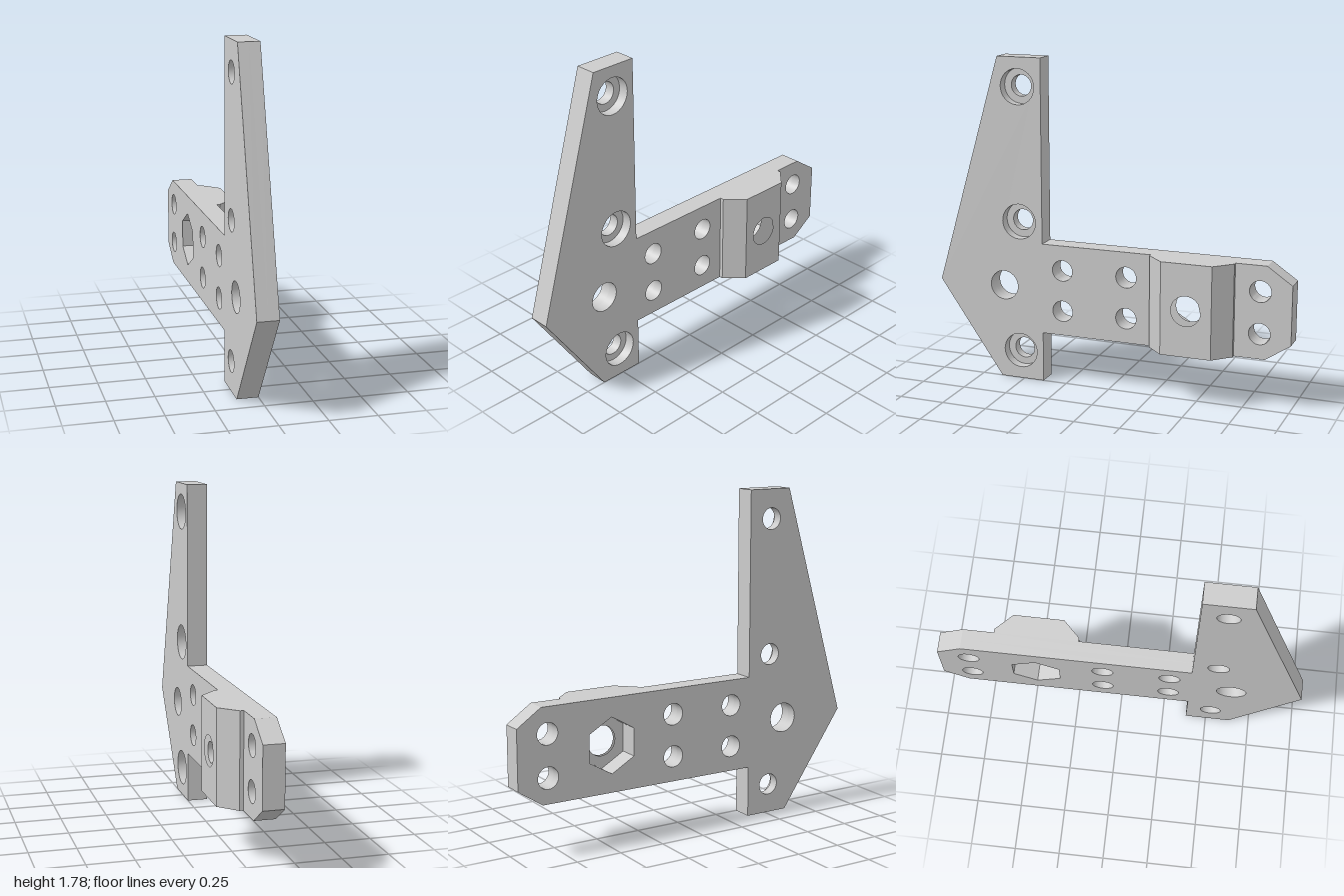
import * as THREE from 'three';
import { toCreasedNormals } from 'three/addons/utils/BufferGeometryUtils.js';

const T = 0.112;       // plate thickness
const STEP = 0.056;    // depth of the counterbores
const LOW = 0.277, HIGH = 0.78, MID = 0.527;  // arm edges and centre line
const PAD_Z = -0.467;  // centre of the raised pad

const material = new THREE.MeshStandardMaterial({ color: 0xcccccc });

// Profiles are given as [z, y]; the shape plane uses -z so it can be turned to face +x
const toPoints = (list) => list.map(([z, y]) => new THREE.Vector2(-z, y));

function roundHole([z, y], r) {
  const path = new THREE.Path();
  path.absarc(-z, y, r, 0, Math.PI * 2, true);
  return path;
}

function hexHole([z, y], r) {
  const corners = [];
  for (let i = 0; i < 6; i++) {
    const a = Math.PI / 2 + (i * Math.PI) / 3;
    corners.push([z + r * Math.cos(a), y + r * Math.sin(a)]);
  }
  return new THREE.Path([...toPoints(corners), toPoints(corners)[0]]);
}

// Extrude a profile along x from x0 to x1, optionally adjusting its vertices
function slab(name, outline, holes, x0, x1, adjust) {
  const shape = new THREE.Shape(toPoints(outline));
  shape.holes.push(...holes);
  const geo = new THREE.ExtrudeGeometry(shape, { depth: x1 - x0, bevelEnabled: false, curveSegments: 16 });
  geo.rotateY(Math.PI / 2).translate(x0, 0, 0);
  if (adjust) adjust(geo.attributes.position);
  const mesh = new THREE.Mesh(toCreasedNormals(geo, 0.4), material);
  mesh.name = name;
  return mesh;
}

export function createModel() {
  const group = new THREE.Group();
  group.name = 'bracket';

  // Pointed upright with a chamfered arm running to the back
  const outline = [
    [0.635, 0], [0.385, 0], [0.385, LOW], [-0.865, LOW], [-1, 0.367], [-1, 0.687],
    [-0.865, HIGH], [0.385, HIGH], [0.385, 1.785], [0.635, 1.785], [1, MID],
  ];
  const mounts = [[0.52, 0.16], [0.52, 0.893], [0.52, 1.627]];

  // Holes that run straight through the plate
  const throughHoles = () => {
    const holes = [roundHole([0.613, MID], 0.081), hexHole([PAD_Z, MID], 0.15)];
    for (const z of [0.268, -0.098, -0.832])
      for (const y of [0.413, 0.641]) holes.push(roundHole([z, y], 0.058));
    return holes;
  };
  const plateLayer = (name, r, x0, x1) =>
    slab(name, outline, [...throughHoles(), ...mounts.map((p) => roundHole(p, r))], x0, x1);

  // The outer layer has the wide counterbores, the inner one the screw holes
  group.add(plateLayer('plateInnerLayer', 0.058, -T, -STEP));
  group.add(plateLayer('plateOuterLayer', 0.097, -STEP, 0));

  // Raised pad: a thin straight lip, then sides that slope in to a flat top
  const half = 0.23, topHalf = 0.138, lip = 0.02;
  const padOutline = [
    [PAD_Z - half, LOW], [PAD_Z + half, LOW], [PAD_Z + half, HIGH], [PAD_Z - half, HIGH],
  ];
  const padHole = () => [roundHole([PAD_Z, MID], 0.081)];
  const slopeSides = (pos) => {
    for (let i = 0; i < pos.count; i++) {
      const dz = pos.getZ(i) - PAD_Z;
      if (pos.getX(i) > T - 0.01 && Math.abs(dz) > 0.2) pos.setZ(i, PAD_Z + Math.sign(dz) * topHalf);
    }
  };
  group.add(slab('padLip', padOutline, padHole(), 0, lip));
  group.add(slab('padSlopedTop', padOutline, padHole(), lip, T, slopeSides));

  return group;
}
